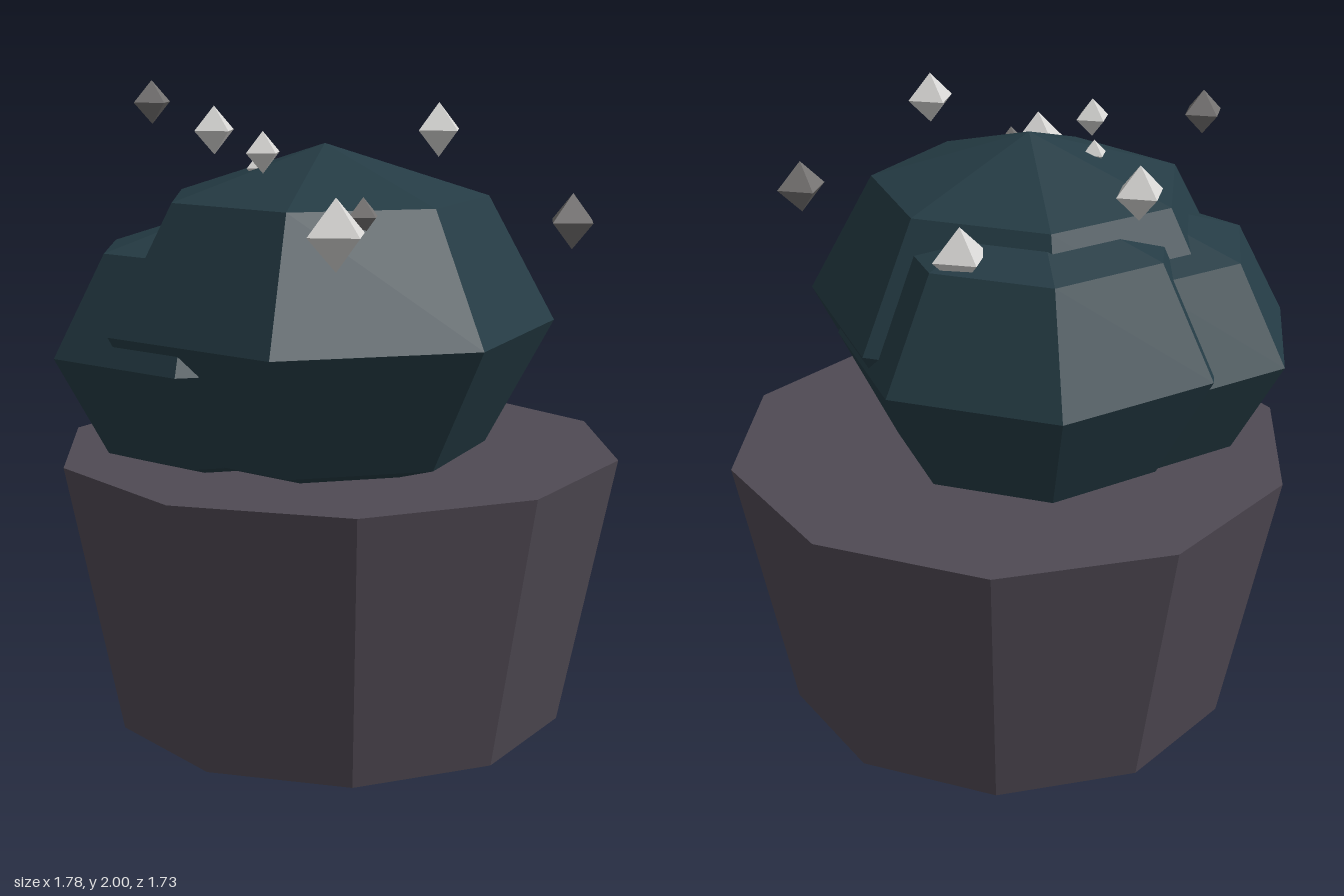
import * as THREE from 'three';

const mat = (name, color) => {
  const m = new THREE.MeshStandardMaterial({ color, flatShading: true });
  m.name = name;
  return m;
};

export function createModel() {
  const clay = mat('dark clay', 0x504a54);
  const leaf = mat('deep teal foliage', 0x253c45);
  const pale = mat('pale grey', 0xd8d7d5);
  const grey = mat('mid grey', 0x757372);

  const model = new THREE.Group();
  model.name = 'pottedBush';
  const add = (name, geometry, material, x, y, z) => {
    const mesh = new THREE.Mesh(geometry, material);
    mesh.name = name;
    mesh.position.set(x, y, z);
    model.add(mesh);
    return mesh;
  };

  // Ten-sided tapered pot, with corners on the x axis
  const pot = new THREE.CylinderGeometry(0.89, 0.72, 0.858, 10);
  pot.rotateY(Math.PI / 10);
  add('pot', pot, clay, 0, 0.429, -0.02);

  // Three overlapping seven-sided foliage clumps, each with a corner on +x
  const clump = (name, x, y, z, radius, height) => {
    const g = new THREE.SphereGeometry(1, 7, 4);
    g.rotateY(Math.PI);
    g.scale(radius, height, radius);
    add(name, g, leaf, x, y, z);
  };
  clump('mainFoliage', 0.105, 1.285, 0.117, 0.7, 0.537);
  clump('frontFoliage', -0.13, 1.2, 0.314, 0.56, 0.43);
  clump('backFoliage', -0.104, 1.23, 0.002, 0.612, 0.478);

  // Small octahedral buds on and around the foliage: x, y, z, radius, material
  const buds = [
    [-0.565, 1.825, 0.045, 0.08, pale],
    [-0.325, 1.937, 0.447, 0.066, grey],
    [0.003, 1.75, 0.29, 0.044, pale],
    [0.162, 1.81, 0.393, 0.061, pale],
    [0.445, 1.872, -0.033, 0.079, pale],
    [0.582, 1.615, 0.465, 0.102, pale],
    [0.627, 1.595, -0.41, 0.084, grey],
    [0.518, 1.65, 0.315, 0.054, grey],
    [-0.212, 1.6, -0.325, 0.092, pale],
  ];
  buds.forEach(([x, y, z, r, m], i) =>
    add('bud' + (i + 1), new THREE.OctahedronGeometry(r), m, x, y, z));

  return model;
}
